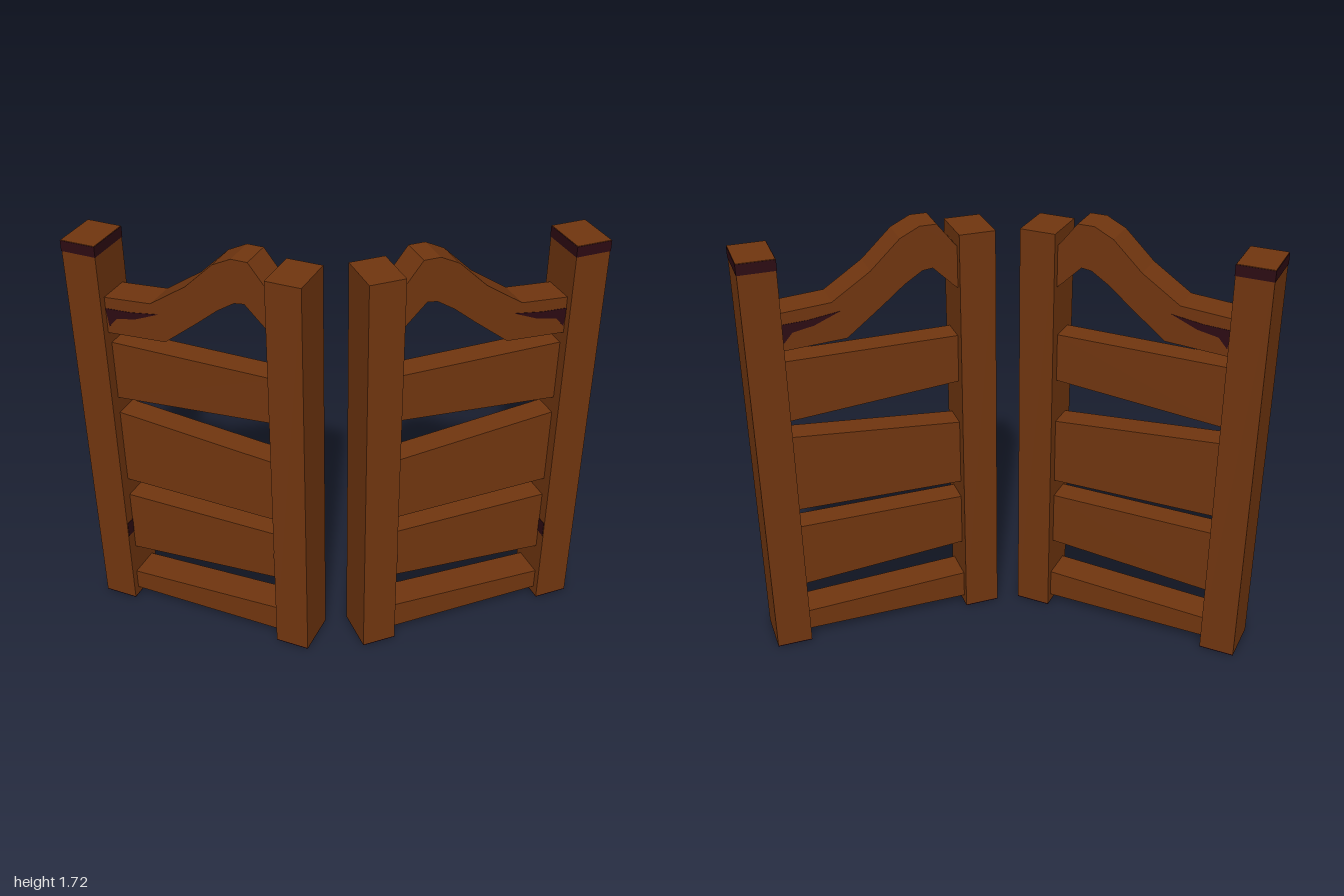
import * as THREE from 'three';

const HEIGHT = 1.675, POST_W = 0.14, POST_D = 0.187;

export function createModel() {
  const wood = new THREE.MeshStandardMaterial({ color: 0x70350f });
  wood.name = 'brown wood';
  const stain = new THREE.MeshStandardMaterial({ color: 0x2c0a12 });
  stain.name = 'dark stain';

  const root = new THREE.Group();
  root.name = 'swingDoors';

  // One door leaf: u runs from the free post (0) to the hinge post (span)
  function makeDoor(name, side, x, z, angle, span) {
    const door = new THREE.Group();
    door.name = name;
    door.position.set(x, 0, z);
    door.rotation.y = side * angle;

    const add = (part, geometry, material) => {
      const mesh = new THREE.Mesh(geometry, material);
      mesh.name = part;
      door.add(mesh);
      return mesh;
    };
    const box = (part, w, h, d, u, y, dz, material = wood) =>
      add(part, new THREE.BoxGeometry(w, h, d), material).position.set(side * u, y, dz);
    const slab = (part, points, depth, material = wood, dz = 0) => {
      const shape = new THREE.Shape(points.map(([u, y]) => new THREE.Vector2(side * u, y)));
      const geometry = new THREE.ExtrudeGeometry(shape, { depth, bevelEnabled: false });
      geometry.translate(0, 0, dz - depth / 2);
      add(part, geometry, material);
    };

    // Posts with dark undersides
    for (const [part, u] of [['freePost', 0], ['hingePost', span]]) {
      box(part, POST_W, HEIGHT - 0.004, POST_D, u, HEIGHT / 2 + 0.002, 0);
      box(part + 'Foot', POST_W, 0.004, POST_D, u, 0.002, 0, stain);
    }
    // Worn band below the top of the hinge post
    box('hingePostBand', POST_W + 0.003, 0.042, POST_D + 0.003, span, HEIGHT - 0.023, 0, stain);

    // Tapered boards: bottom and top at the free end, then at the hinge end
    const a = 0.06, b = span - 0.06;
    const boards = [
      ['upperBoard', 1.06, 1.255, 1.005, 1.255, 0.1],
      ['middleBoard', 0.6, 0.875, 0.61, 0.937, 0.1],
      ['lowerBoard', 0.305, 0.527, 0.253, 0.529, 0.1],
      ['bottomRail', 0.035, 0.152, 0.037, 0.125, 0.13],
    ];
    for (const [part, y0, y1, y2, y3, depth] of boards)
      slab(part, [[a, y0], [b, y2], [b, y3], [a, y1]], depth);

    // Curved top rail
    slab('archedRail', [
      [0.05, 1.44], [0.09, 1.475], [0.165, 1.55], [0.205, 1.545], [0.275, 1.5],
      [0.36, 1.43], [0.5, 1.32], [b, 1.305],
      [b, 1.455], [0.55, 1.47], [0.4, 1.57], [0.285, 1.68], [0.21, 1.717],
      [0.145, 1.717], [0.085, 1.64], [0.05, 1.6],
    ], 0.13);

    // Dark wear on both faces of the top rail
    for (const f of [1, -1])
      slab('archWear', [
        [0.52, 1.432], [0.62, 1.39], [0.7, 1.375], [0.735, 1.335],
        [0.745, 1.41], [0.64, 1.415],
      ], 0.003, stain, f * 0.065);

    // Small dark marks on the inner post faces
    box('freePostMark', 0.003, 0.06, 0.05, POST_W / 2, 0.435, 0.068, stain);
    box('hingePostMark', 0.003, 0.065, 0.04, span - POST_W / 2, 0.37, 0.07, stain);

    root.add(door);
  }

  makeDoor('leftDoor', 1, 0.14, 0.137, 0.372, 0.81);
  makeDoor('rightDoor', -1, -0.149, 0.155, 0.406, 0.815);
  return root;
}
